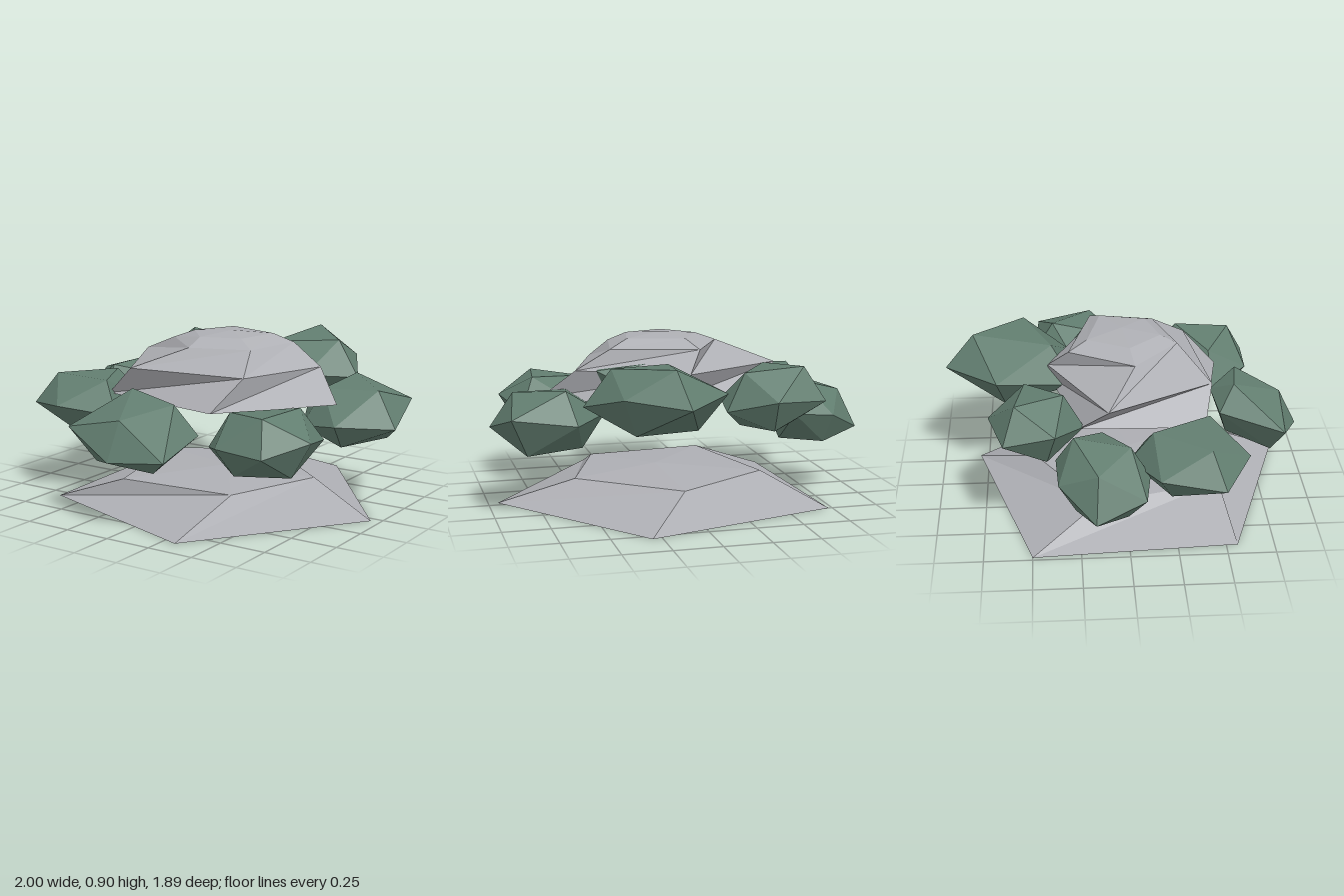
import * as THREE from 'three';
import { ConvexGeometry } from 'three/addons/geometries/ConvexGeometry.js';

const rock = new THREE.MeshStandardMaterial({ color: 0xaeafb4, side: THREE.DoubleSide, flatShading: true });
rock.name = 'grey rock';
const leaf = new THREE.MeshStandardMaterial({ color: 0x627e70, flatShading: true });
leaf.name = 'bush green';

// Open rock shell: five-sided rings stacked upward, closed with a peak
function rockShell(name, rings, peak) {
  const pos = [];
  const tri = (...pts) => pts.forEach((p) => pos.push(...p));
  const loops = rings.map(({ y, pts }) => pts.map(([x, z]) => [x, y, z]));
  loops.forEach((low, k) => {
    const up = loops[k + 1];
    for (let i = 0; i < low.length; i++) {
      const j = (i + 1) % low.length;
      if (up) {
        tri(low[j], low[i], up[i]);
        tri(low[j], up[i], up[j]);
      } else tri(low[j], low[i], peak);
    }
  });
  const geo = new THREE.BufferGeometry();
  geo.setAttribute('position', new THREE.Float32BufferAttribute(pos, 3));
  geo.computeVertexNormals();
  const mesh = new THREE.Mesh(geo, rock);
  mesh.name = name;
  return mesh;
}

// Faceted bush: a zigzag belt of six corners, a crown triangle above its low
// corners and a flat triangle below its high ones; slope leans belt and crown
function bush({ name, belt, y: [y0, y1], slope = [0, 0] }) {
  const h = y1 - y0;
  const cx = belt.reduce((s, p) => s + p[0], 0) / 6;
  const cz = belt.reduce((s, p) => s + p[1], 0) / 6;
  const lean = (x, z) => slope[0] * (x - cx) + slope[1] * (z - cz);
  const inner = ([x, z]) => [cx + (x - cx) * 0.6, cz + (z - cz) * 0.6];
  const low = belt.filter((p, i) => i % 2 === 0);
  const high = belt.filter((p, i) => i % 2 === 1);
  const crown = low.map(inner);
  const crownBase = y1 - Math.max(...crown.map(([x, z]) => lean(x, z)));
  const at = ([x, z], y) => new THREE.Vector3(x, Math.max(y0, y), z);
  const points = [
    ...low.map((p) => at(p, y0 + 0.38 * h + lean(...p))),
    ...high.map((p) => at(p, y0 + 0.52 * h + lean(...p))),
    ...crown.map((p) => at(p, crownBase + lean(...p))),
    ...high.map((p) => at(inner(p), y0)),
  ];
  const mesh = new THREE.Mesh(new ConvexGeometry(points), leaf);
  mesh.name = name;
  return mesh;
}

export function createModel() {
  const group = new THREE.Group();
  group.name = 'rockWithBushes';

  // Low mound on the ground
  group.add(rockShell('baseRock', [
    { y: 0, pts: [[0.95, 0.04], [0.32, 0.88], [-0.67, 0.56], [-0.73, -0.5], [0.3, -0.8]] },
    { y: 0.14, pts: [[0.55, -0.08], [0.36, 0.44], [-0.28, 0.5], [-0.46, -0.16], [0.05, -0.48]] },
  ], [0.08, 0.17, 0.04]));

  // Floating upper rock with a stepped top
  group.add(rockShell('upperRock', [
    { y: 0.57, pts: [[0.72, 0], [0.29, 0.53], [-0.44, 0.4], [-0.42, -0.25], [0.17, -0.39]] },
    { y: 0.73, pts: [[0.55, -0.13], [0.38, 0.36], [-0.26, 0.45], [-0.55, -0.1], [0, -0.4]] },
    { y: 0.84, pts: [[0.37, -0.16], [0.31, 0.18], [0, 0.29], [-0.26, 0.05], [-0.08, -0.29]] },
    { y: 0.885, pts: [[0.27, -0.11], [0.22, 0.13], [0.01, 0.2], [-0.14, 0.03], [-0.03, -0.19]] },
  ], [0.08, 0.9, 0]));

  // Ring of bushes around the rock, and one growing inside it
  [
    { name: 'backBush', y: [0.49, 0.83], slope: [0, -0.1],
      belt: [[0.14, -0.95], [0.43, -0.77], [0.58, -0.5], [0.37, -0.28], [0.03, -0.25], [-0.12, -0.67]] },
    { name: 'backRightBush', y: [0.46, 0.78], slope: [-0.1, 0],
      belt: [[-0.65, -0.63], [-0.37, -0.71], [-0.15, -0.55], [-0.16, -0.39], [-0.42, -0.22], [-0.65, -0.37]] },
    { name: 'rightBush', y: [0.31, 0.65], slope: [0.3, 0],
      belt: [[-1, -0.18], [-0.8, -0.36], [-0.58, -0.37], [-0.46, -0.13], [-0.7, 0.1], [-0.91, 0.07]] },
    { name: 'frontRightBush', y: [0.37, 0.64],
      belt: [[-0.58, 0], [-0.45, 0.09], [-0.32, 0.5], [-0.63, 0.61], [-0.91, 0.46], [-0.86, 0.14]] },
    { name: 'frontBush', y: [0.31, 0.66], slope: [-0.1, -0.35],
      belt: [[-0.04, 0.94], [-0.37, 0.83], [-0.23, 0.5], [-0.02, 0.47], [0.25, 0.57], [0.27, 0.9]] },
    { name: 'frontLeftBush', y: [0.31, 0.62], slope: [0.1, 0],
      belt: [[0.27, 0.51], [0.45, 0.31], [0.78, 0.24], [0.87, 0.53], [0.72, 0.74], [0.45, 0.73]] },
    { name: 'leftBush', y: [0.34, 0.67], slope: [0, -0.15],
      belt: [[0.6, -0.48], [0.93, -0.45], [1, -0.11], [0.75, 0.08], [0.52, 0], [0.42, -0.24]] },
    { name: 'innerBush', y: [0.48, 0.79], slope: [0.3, 0],
      belt: [[0.36, 0.1], [0.08, 0.18], [-0.22, 0], [-0.1, -0.28], [0.25, -0.35], [0.45, -0.19]] },
  ].forEach((b) => group.add(bush(b)));

  return group;
}
